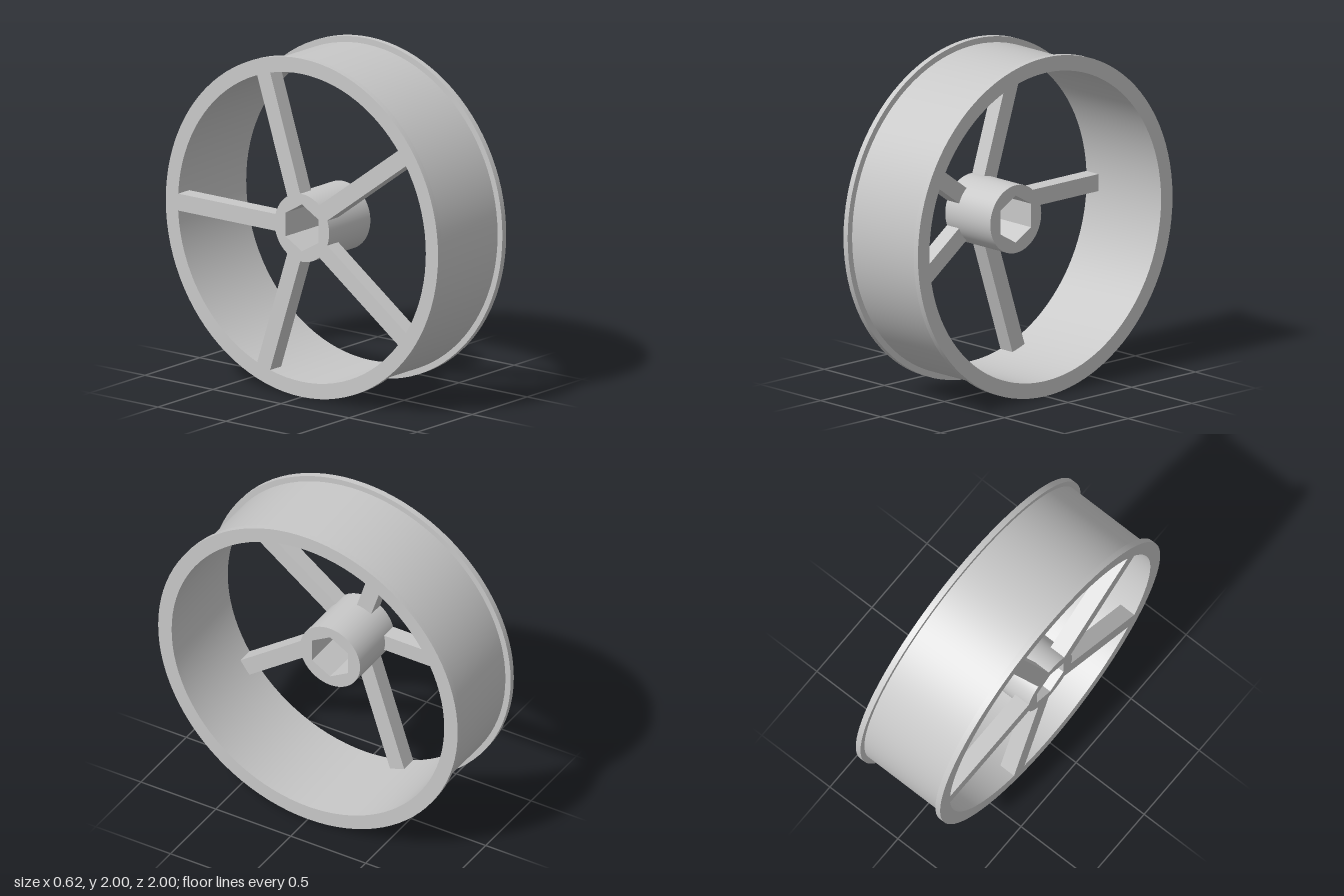
import * as THREE from 'three';
import { toCreasedNormals } from 'three/addons/utils/BufferGeometryUtils.js';

const HALF = 0.31;        // half the wheel width
const FLANGE = 0.035;     // flange thickness
const R_FLANGE = 1, R_BARREL = 0.965, R_INNER = 0.91;
const R_HUB = 0.2, R_HEX = 0.139, HUB_LENGTH = 0.375;
const SPOKE = 0.1;        // square spoke section

export function createModel() {
  const model = new THREE.Group();
  model.name = 'wheel';
  const grey = new THREE.MeshStandardMaterial({ color: 0xc8c8c8 });
  grey.name = 'light grey';

  const wheel = new THREE.Group();
  wheel.name = 'wheelBody';
  wheel.position.y = 1;
  model.add(wheel);

  const add = (name, geometry) => {
    const mesh = new THREE.Mesh(geometry, grey);
    mesh.name = name;
    wheel.add(mesh);
    return mesh;
  };

  // Rim: barrel with a flange at each edge, turned about the x axis
  const profile = [
    [R_INNER, -HALF], [R_FLANGE, -HALF], [R_FLANGE, -HALF + FLANGE],
    [R_BARREL, -HALF + FLANGE], [R_BARREL, HALF - FLANGE],
    [R_FLANGE, HALF - FLANGE], [R_FLANGE, HALF], [R_INNER, HALF], [R_INNER, -HALF],
  ].map(([r, y]) => new THREE.Vector2(r, y));
  const rim = new THREE.LatheGeometry(profile, 96);
  rim.rotateZ(-Math.PI / 2);
  add('rim', toCreasedNormals(rim, 0.6));

  // Hub: tube with a hexagonal bore, flush with the spoked side
  const disc = new THREE.Shape().absarc(0, 0, R_HUB, 0, Math.PI * 2);
  const hexPoints = [];
  for (let i = 0; i < 6; i++) {
    const a = Math.PI / 2 - i * Math.PI / 3;
    hexPoints.push(new THREE.Vector2(Math.cos(a) * R_HEX, Math.sin(a) * R_HEX));
  }
  disc.holes.push(new THREE.Path(hexPoints));
  const hub = new THREE.ExtrudeGeometry(disc, {
    depth: HUB_LENGTH, bevelEnabled: false, curveSegments: 48,
  });
  hub.rotateY(Math.PI / 2);
  hub.translate(-HALF, 0, 0);
  add('hub', toCreasedNormals(hub, 0.6));

  // Five square spokes, the first pointing straight back
  const start = R_HUB - 0.006, end = R_INNER + 0.003;
  for (let i = 0; i < 5; i++) {
    const spoke = new THREE.BoxGeometry(SPOKE, SPOKE, end - start);
    spoke.translate(-HALF + SPOKE / 2, 0, -(start + end) / 2);
    add('spoke' + (i + 1), spoke).rotation.x = i * Math.PI * 2 / 5;
  }

  return model;
}
